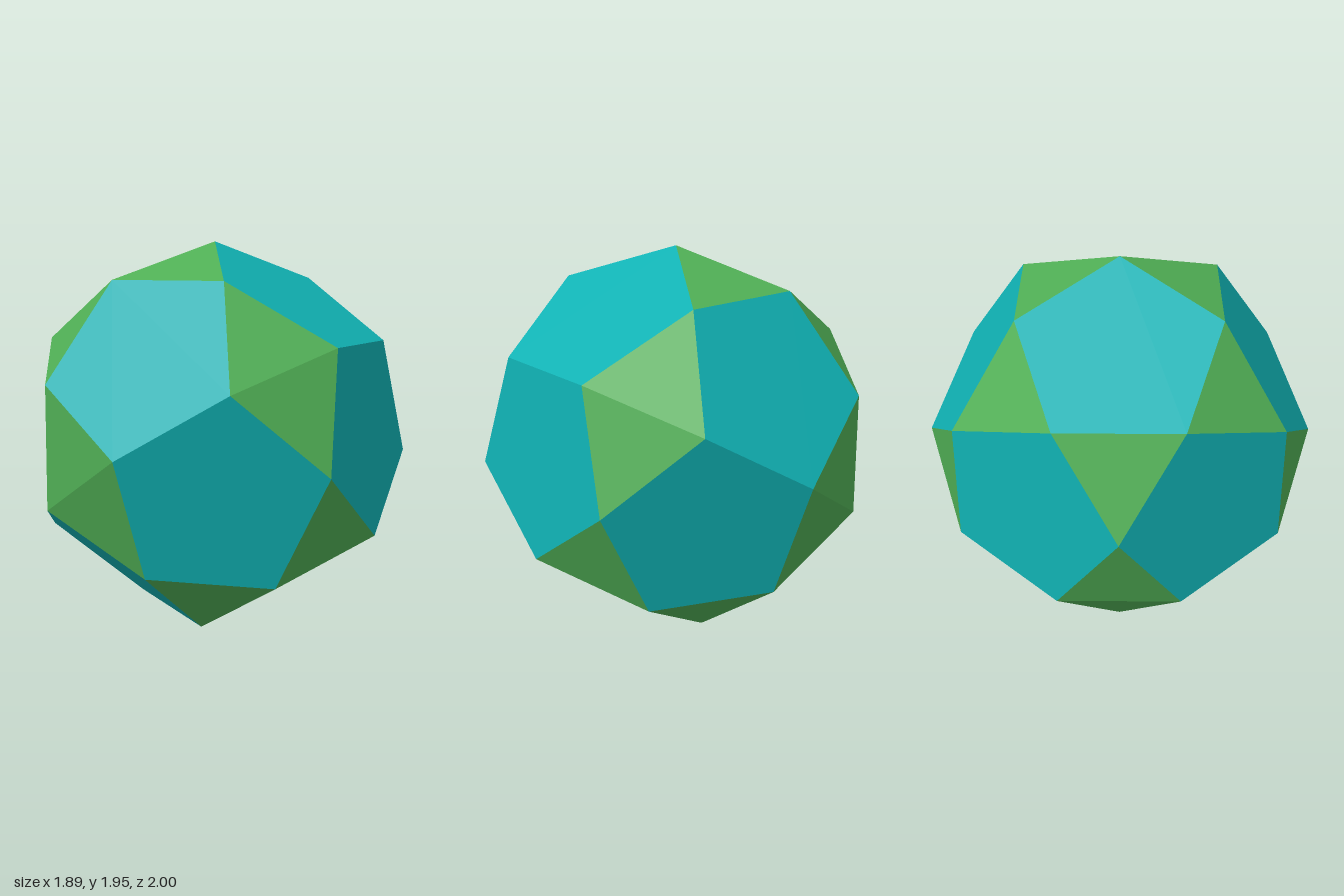
import * as THREE from 'three';

// Twin-rotunda solid: two mirrored caps of pentagons and triangles joined on a decagon
const TILT = Math.asin(0.5257);

// point on a ring around the local y axis, angle in degrees
function ring(radius, height, deg) {
  const a = THREE.MathUtils.degToRad(deg);
  return new THREE.Vector3(radius * Math.cos(a), height, -radius * Math.sin(a));
}
const top = k => ring(0.5257, 0.8507, 72 * k);
const mid = k => ring(0.8507, 0.5257, 72 * k + 36);
const rim = deg => ring(1, 0, deg);

// flat-faced geometry from convex polygons; side = -1 mirrors it below the rim
function facesGeometry(polygons, side) {
  const points = [];
  for (const p of polygons) {
    for (let i = 1; i < p.length - 1; i++) {
      const tri = side > 0 ? [p[0], p[i], p[i + 1]] : [p[0], p[i + 1], p[i]];
      for (const v of tri) points.push(new THREE.Vector3(v.x, v.y * side, v.z));
    }
  }
  const geometry = new THREE.BufferGeometry().setFromPoints(points);
  geometry.computeVertexNormals();
  return geometry;
}

export function createModel() {
  const teal = new THREE.MeshStandardMaterial({ color: 0x10b2b4 });
  teal.name = 'teal';
  const green = new THREE.MeshStandardMaterial({ color: 0x50af55 });
  green.name = 'green';

  // cap pentagon, then one pentagon and two triangles per fifth of a turn
  const pentagons = [[0, 1, 2, 3, 4].map(top)];
  const triangles = [];
  for (let k = 0; k < 5; k++) {
    const a = 72 * k;
    pentagons.push([top(k), mid(k - 1), rim(a - 18), rim(a + 18), mid(k)]);
    triangles.push([top(k), mid(k), top(k + 1)]);
    triangles.push([mid(k), rim(a + 18), rim(a + 54)]);
  }

  const model = new THREE.Group();
  model.name = 'polyhedron';
  for (const [name, side] of [['upperRotunda', 1], ['lowerRotunda', -1]]) {
    const half = new THREE.Group();
    half.name = name;
    const pentagonMesh = new THREE.Mesh(facesGeometry(pentagons, side), teal);
    pentagonMesh.name = 'pentagonFaces';
    const triangleMesh = new THREE.Mesh(facesGeometry(triangles, side), green);
    triangleMesh.name = 'triangleFaces';
    half.add(pentagonMesh, triangleMesh);
    // lean the axis and rest the solid on its lowest edge
    half.rotation.z = TILT;
    half.position.set(0.053, 0.947, 0);
    model.add(half);
  }
  return model;
}
